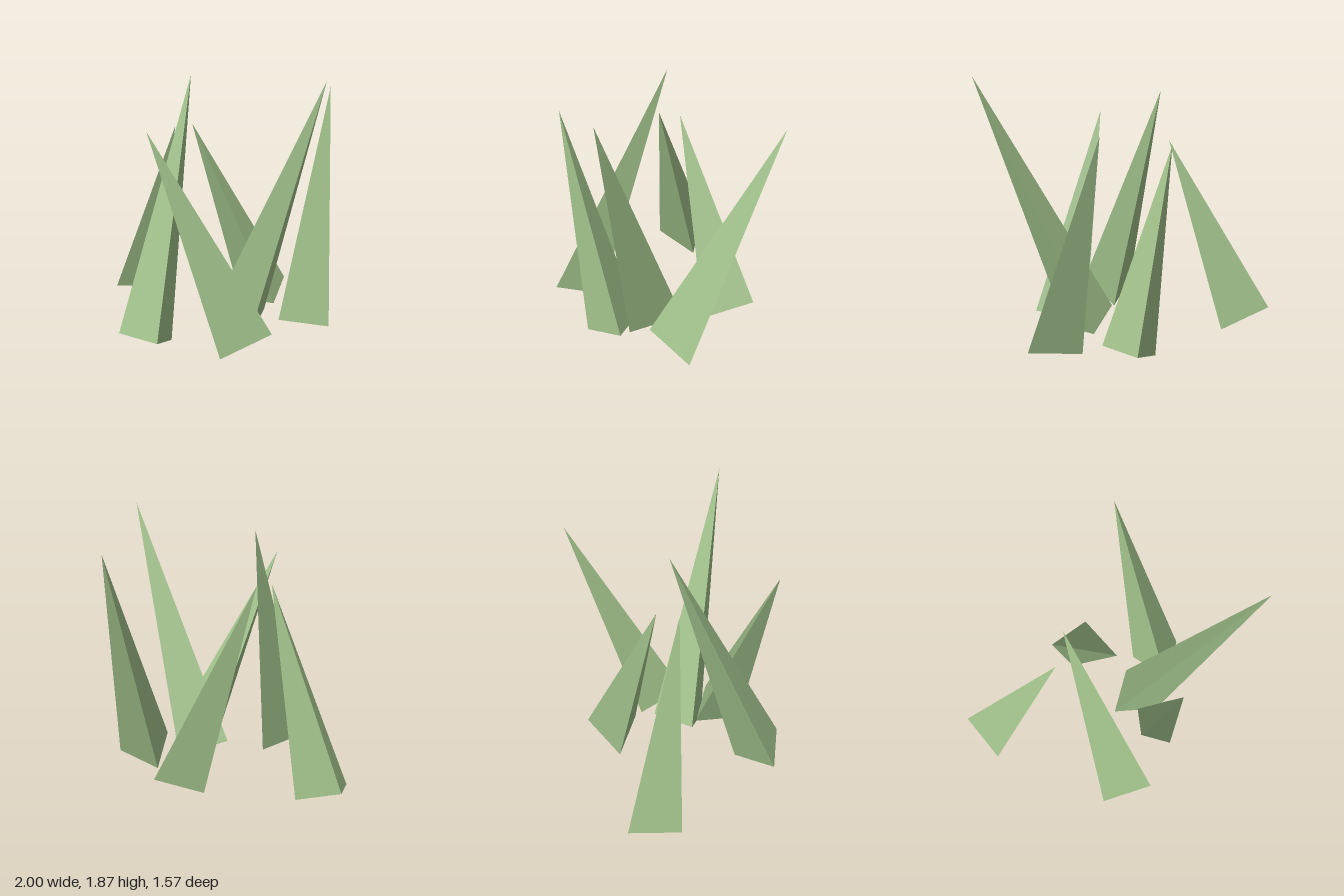
import * as THREE from 'three';
import { ConvexGeometry } from 'three/addons/geometries/ConvexGeometry.js';

// Each spike: sharp tip, then the three corners of its tilted triangular base
const SPIKES = {
  leftBladeOuter: [[-0.31, 1.4, 0.07], [-1, 0.165, -0.215], [-0.88, 0.07, 0.13], [-0.65, 0.015, -0.17]],
  bladeBack: [[-0.28, 1.4, -0.08], [0.15, 0.15, -0.66], [0.29, 0.09, -0.31], [-0.065, 0.003, -0.39]],
  bladeFront: [[-0.22, 1.76, 0], [-0.24, 0.11, 0.757], [0.13, 0.16, 0.785], [-0.02, 0.015, 0.475]],
  bladeFrontSide: [[0.01, 1.52, 0.705], [0.64, 0.165, 0.23], [0.42, 0.025, 0.5], [0.28, 0.08, 0.16]],
  bladeTall: [[1, 1.87, 0.275], [0.09, 0.172, 0.145], [0.31, 0.11, -0.16], [0.425, 0.025, 0.2]],
  bladeBackSide: [[0.42, 1.64, -0.785], [0.79, 0.08, -0.25], [0.565, 0.175, 0.04], [0.42, 0.03, -0.275]],
};

export function createModel() {
  const group = new THREE.Group();
  group.name = 'grassTuft';
  const green = new THREE.MeshStandardMaterial({ color: 0xa0c08a });
  green.name = 'grassGreen';

  // Closed three-sided blades with flat faces
  for (const [name, corners] of Object.entries(SPIKES)) {
    const points = corners.map((p) => new THREE.Vector3(...p));
    const blade = new THREE.Mesh(new ConvexGeometry(points), green);
    blade.name = name === 'leftBladeOuter' ? 'bladeOuter' : name;
    group.add(blade);
  }
  return group;
}
